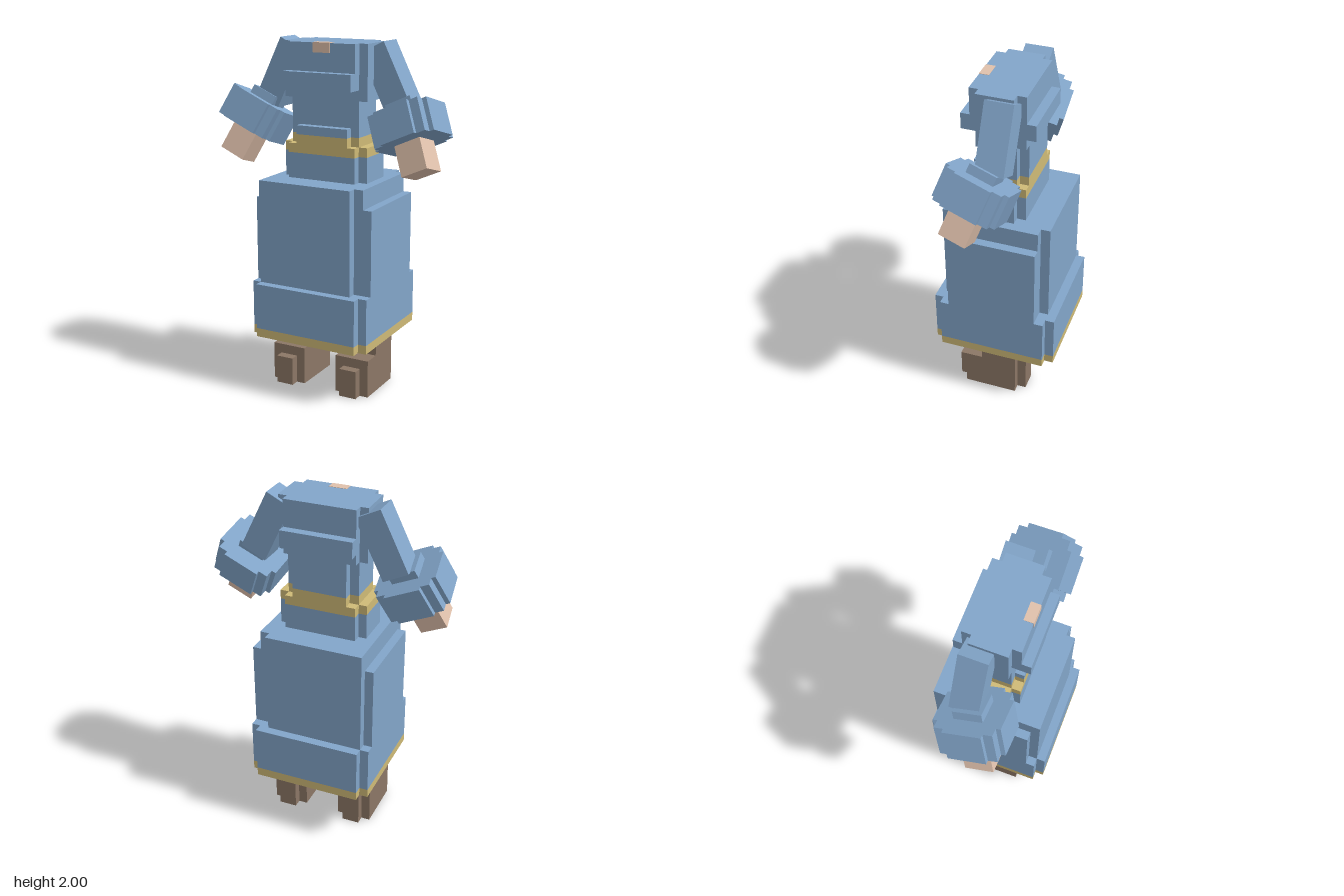
import * as THREE from 'three';

const paint = (name, color) => {
  const m = new THREE.MeshStandardMaterial({ color });
  m.name = name;
  return m;
};

export function createModel() {
  const blue = paint('blueCloth', 0x82a5c9);
  const gold = paint('goldTrim', 0xcfba77);
  const skin = paint('skin', 0xe0c1ac);
  const brown = paint('brownLeather', 0x8c7766);

  const model = new THREE.Group();
  model.name = 'robedFigure';
  const CX = 0.008; // body centre line

  const group = (name, parent = model) => {
    const g = new THREE.Group();
    g.name = name;
    parent.add(g);
    return g;
  };

  // Box from its limits on each axis
  const box = (parent, name, mat, [x0, x1], [y0, y1], [z0, z1]) => {
    const mesh = new THREE.Mesh(new THREE.BoxGeometry(x1 - x0, y1 - y0, z1 - z0), mat);
    mesh.position.set((x0 + x1) / 2, (y0 + y1) / 2, (z0 + z1) / 2);
    mesh.name = name;
    parent.add(mesh);
    return mesh;
  };

  // Block with notched corners: one wide slab crossed by one deep slab
  const notched = (parent, name, mat, y, wide, deep) => {
    box(parent, name, mat, wide[0], y, wide[1]);
    box(parent, name, mat, deep[0], y, deep[1]);
  };

  // Skirt: gold hem, flared lower tier, tall upper tier, narrow top
  const skirt = group('skirt');
  const flareWide = [[-0.355, 0.37], [-0.31, 0.312]];
  const flareDeep = [[-0.305, 0.32], [-0.362, 0.362]];
  notched(skirt, 'hem', gold, [0.32, 0.37], flareWide, flareDeep);
  notched(skirt, 'lowerSkirt', blue, [0.37, 0.635], flareWide, flareDeep);
  notched(skirt, 'upperSkirt', blue, [0.635, 1.12],
    [[-0.355, 0.37], [-0.257, 0.26]], [[-0.305, 0.266], [-0.31, 0.312]]);
  notched(skirt, 'skirtTop', blue, [1.12, 1.23],
    [[-0.305, 0.32], [-0.257, 0.26]], [[-0.305, 0.266], [-0.31, 0.312]]);

  // Torso: hips, two-step belt, waist, chest with a raised band
  const torso = group('torso');
  const broadWide = [[-0.25, 0.265], [-0.102, 0.107]];
  const broadDeep = [[-0.203, 0.214], [-0.154, 0.158]];
  const slimWide = [[-0.203, 0.214], [-0.102, 0.107]];
  const slimDeep = [[-0.15, 0.167], [-0.154, 0.158]];
  notched(torso, 'hips', blue, [1.23, 1.375], broadWide, broadDeep);
  notched(torso, 'beltLower', gold, [1.375, 1.428], broadWide, broadDeep);
  notched(torso, 'beltUpper', gold, [1.428, 1.48], slimWide, slimDeep);
  notched(torso, 'waist', blue, [1.48, 1.53], slimWide, slimDeep);
  notched(torso, 'upperWaist', blue, [1.53, 1.68], slimWide, [[-0.15, 0.167], [-0.154, 0.107]]);
  notched(torso, 'lowerChest', blue, [1.68, 1.74], broadWide, [[-0.203, 0.214], [-0.154, 0.107]]);
  notched(torso, 'chest', blue, [1.74, 1.99], broadWide, broadDeep);
  box(torso, 'chestBand', blue, [-0.203, 0.214], [1.74, 1.833], [-0.206, 0.209]);
  // Bare skin patch at the neckline, wrapping over the top edge
  box(torso, 'neckline', skin, [-0.043, 0.062], [1.937, 1.992], [0.105, 0.16]);

  // Arms, mirrored: s is the side
  for (const s of [-1, 1]) {
    const arm = group(s > 0 ? 'leftArm' : 'rightArm');

    const upper = group('upperArm', arm);
    upper.position.set(s * 0.252, 1.967, -0.045);
    upper.rotation.z = s * 0.456;
    box(upper, 'upperSleeve', blue, [-0.078, 0.078], [-0.37, 0], [-0.079, 0.079]);

    // Forearm frame starts at the fingertips, running up to the elbow
    const fore = group('forearm', arm);
    fore.position.set(s * 0.585, 1.315, 0.1);
    fore.rotation.set(-0.3, 0, s * 0.42, 'ZXY');
    box(fore, 'hand', skin, [-0.079, 0.079], [0, 0.22], [-0.079, 0.079]);
    box(fore, 'lowerSleeve', blue, [-0.079, 0.079], [0.22, 0.41], [-0.079, 0.079]);
    // Flared cuff with stepped corners
    for (const [w, d] of [[0.183, 0.105], [0.157, 0.157], [0.105, 0.183]]) {
      box(fore, 'cuff', blue, [-w, w], [0.175, 0.36], [-d, d]);
    }
  }

  // Legs and stepped boots, mirrored about the body centre line
  for (const s of [-1, 1]) {
    const leg = group(s > 0 ? 'leftLeg' : 'rightLeg');
    leg.position.x = CX + s * 0.207;
    box(leg, 'leg', brown, [-0.098, 0.098], [0.275, 0.34], [-0.128, -0.02]);
    box(leg, 'leg', brown, [-0.052, 0.052], [0.275, 0.34], [-0.178, 0.03]);
    box(leg, 'boot', brown, [-0.103, 0.103], [0, 0.275], [-0.128, 0.08]);
    box(leg, 'bootHeel', brown, [-0.052, 0.052], [0, 0.275], [-0.18, -0.128]);
    box(leg, 'bootFront', brown, [-0.103, 0.103], [0, 0.22], [0.08, 0.182]);
    box(leg, 'bootToe', brown, [-0.052, 0.052], [0, 0.165], [0.182, 0.235]);
  }

  return model;
}
